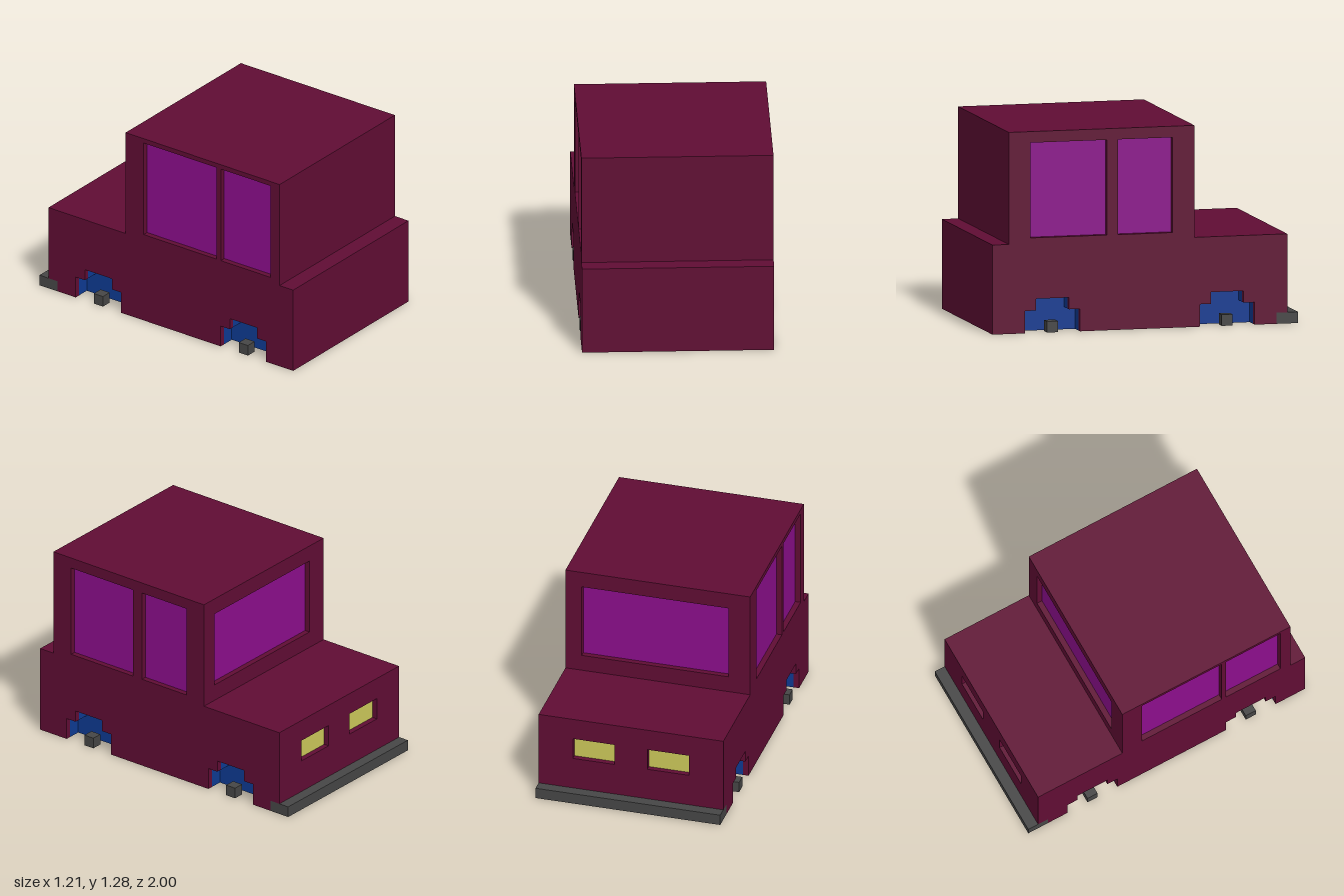
import * as THREE from 'three';

const mat = (name, color) => {
  const m = new THREE.MeshStandardMaterial({ color });
  m.name = name;
  return m;
};

export function createModel() {
  const body = mat('body maroon', 0x600d34);
  const purple = mat('window purple', 0x8c0e8c);
  const blue = mat('chassis blue', 0x0e3a92);
  const grey = mat('metal grey', 0x464646);
  const yellow = mat('lamp yellow', 0xccc85a);

  const W = 0.607, T = 0.036;            // half width, shell thickness
  const DECK = 0.571, ROOF = 1.285;      // heights
  const FRONT = 1, REAR = -0.929, CAB_F = 0.893, CAB_R = -0.321;
  const axles = [0.607, -0.536];
  const group = new THREE.Group();

  const add = (name, geo, material) => {
    const m = new THREE.Mesh(geo, material);
    m.name = name;
    group.add(m);
    return m;
  };
  // Box given by its limits
  const block = (name, material, x0, x1, y0, y1, z0, z1) => {
    const g = new THREE.BoxGeometry(x1 - x0, y1 - y0, z1 - z0);
    g.translate((x0 + x1) / 2, (y0 + y1) / 2, (z0 + z1) / 2);
    return add(name, g, material);
  };
  const rect = ([a, b, c, d]) => [[a, c], [b, c], [b, d], [a, d]];
  const toVecs = (pts) => pts.map(([u, v]) => new THREE.Vector2(u, v));
  // Extruded plate with rectangular holes [u0, u1, v0, v1]
  const plate = (pts, holes, depth) => {
    const s = new THREE.Shape(toVecs(pts));
    holes.forEach((h) => s.holes.push(new THREE.Path(toVecs(rect(h)))));
    return new THREE.ExtrudeGeometry(s, { depth, bevelEnabled: false });
  };
  // Plate drawn in (z, y), filling x0..x0+depth
  const sidePlate = (pts, holes, x0, depth) =>
    plate(pts, holes, depth).rotateY(-Math.PI / 2).translate(x0 + depth, 0, 0);

  // Stepped wheel arch, walked from rear to front
  const arch = (c) => [
    [c - 0.179, 0], [c - 0.179, 0.143], [c - 0.107, 0.143], [c - 0.107, 0.218],
    [c + 0.107, 0.218], [c + 0.107, 0.143], [c + 0.179, 0.143], [c + 0.179, 0],
  ];
  const arches = [...arch(axles[1]), ...arch(axles[0])];

  // Sides, each with its own pair of windows
  const sideOutline = [
    [-0.857, 0], ...arches, [FRONT, 0], [FRONT, DECK], [CAB_F, DECK], [CAB_F, ROOF],
    [CAB_R, ROOF], [CAB_R, DECK], [REAR, DECK], [REAR, 0.071], [-0.857, 0.071],
  ];
  const sides = [
    ['right', -1, [[0.429, 0.821, 0.607, 1.254], [-0.179, 0.397, 0.607, 1.254]]],
    ['left', 1, [[-0.179, 0.179, 0.607, 1.214], [0.25, 0.75, 0.607, 1.214]]],
  ];
  const I = W - T;
  for (const [name, s, windows] of sides) {
    add(name + 'Side', sidePlate(sideOutline, windows, s > 0 ? I : -W, T), body);
    for (const [z0, z1, y0, y1] of windows) {
      const xa = s * I, xb = s * (I - 0.008);
      block(name + 'Window', purple, Math.min(xa, xb), Math.max(xa, xb),
        y0 - 0.01, y1 + 0.01, z0 - 0.01, z1 + 0.01);
    }
  }

  // Shell panels between the sides
  block('frontPanel', body, -I, I, 0, DECK, FRONT - T, FRONT);
  block('frontDeck', body, -I, I, DECK - T, DECK, CAB_F - T, FRONT - T);
  block('cabinFront', body, -I, I, DECK, ROOF - T, CAB_F - T, CAB_F);
  block('roof', body, -I, I, ROOF - T, ROOF, CAB_R, CAB_F);
  block('rearDeck', body, -I, I, DECK - T, DECK, REAR + T, CAB_R + T);

  // Cabin back with its wide window
  const pane = [-0.464, 0.5, 0.679, 1.179];
  add('cabinBack', plate(rect([-I, I, DECK, ROOF - T]), [pane], T).translate(0, 0, CAB_R), body);
  block('backWindow', purple, pane[0] - 0.01, pane[1] + 0.01, pane[2] - 0.01, pane[3] + 0.01,
    CAB_R + T, CAB_R + T + 0.008);

  // Rear panel with recessed lamps
  const lamps = [[-0.382, -0.107, 0.286, 0.429], [0.107, 0.382, 0.286, 0.429]];
  add('rearPanel', plate(rect([-I, I, 0.071, DECK]), lamps, T).translate(0, 0, REAR), body);
  for (const [x0, x1, y0, y1] of lamps) {
    block('lamp', yellow, x0 - 0.01, x1 + 0.01, y0 - 0.01, y1 + 0.01, REAR + T, REAR + T + 0.008);
  }

  // Chassis: solid core and notched strips forming the wheel wells
  const C = 0.49, H = 0.25, Z0 = -0.857, Z1 = FRONT - T;
  block('chassisCore', blue, -C, C, 0, H, Z0, Z1);
  const strip = [[Z0, 0], ...arches, [Z1, 0], [Z1, H], [Z0, H]];
  add('leftWheelWells', sidePlate(strip, [], C, I - C), blue);
  add('rightWheelWells', sidePlate(strip, [], -I, I - C), blue);

  // Axle hubs and bumper
  for (const z of axles) {
    block('leftHub', grey, W - 0.071, W, 0, 0.071, z - 0.036, z + 0.036);
    block('rightHub', grey, -W, -W + 0.071, 0, 0.071, z - 0.036, z + 0.036);
  }
  block('bumper', grey, -W, W, 0, 0.071, -1, -0.857);

  return group;
}
